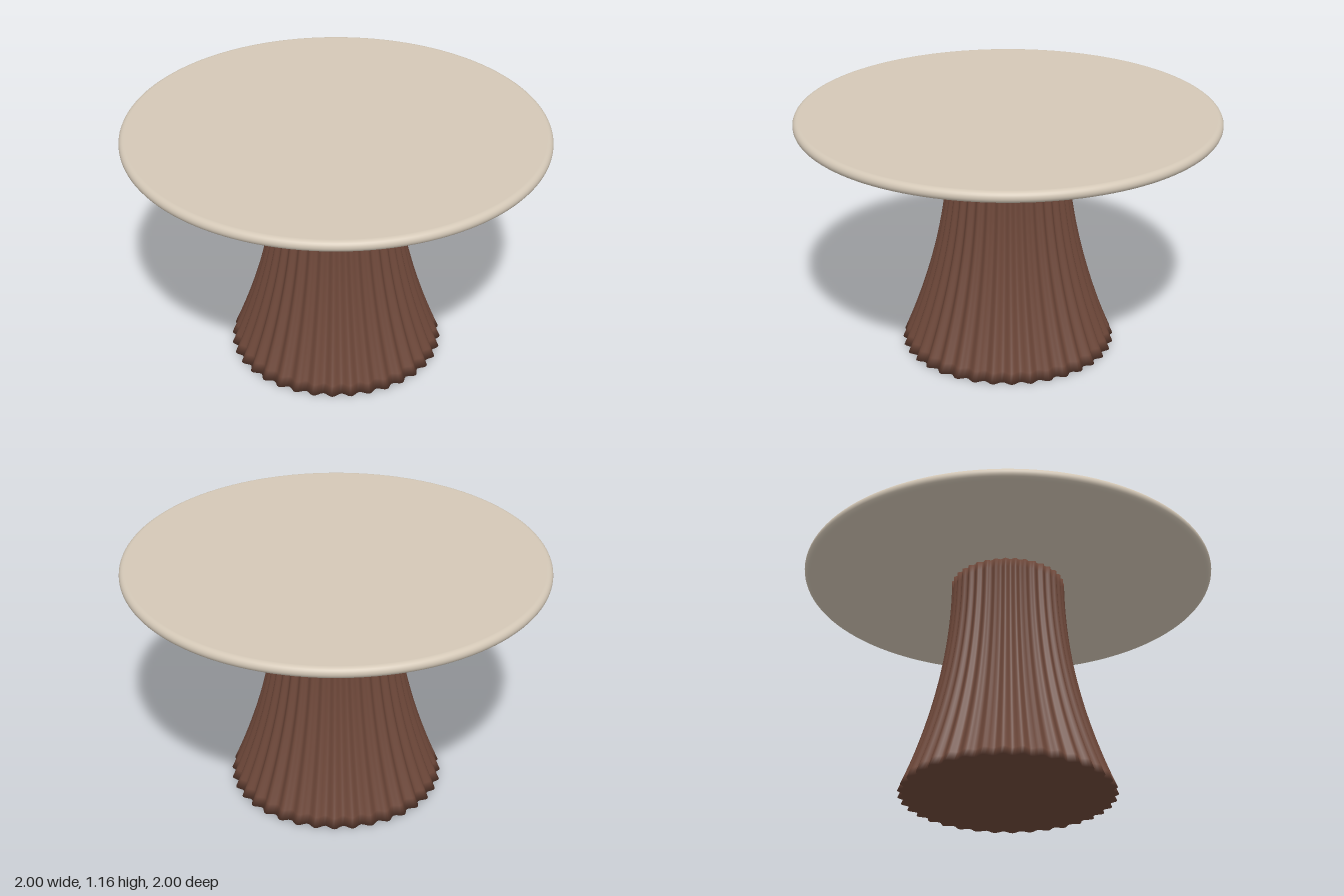
import * as THREE from 'three';

const FLUTES = 36, STEPS = 8, RINGS = 24;
const LEG_HEIGHT = 1.115;

// Fluted column that flares towards the floor, with smooth shared normals
function flutedColumn() {
  const around = FLUTES * STEPS;
  const positions = [], indices = [];
  for (let i = 0; i <= RINGS; i++) {
    const t = i / RINGS;
    const radius = 0.277 + 0.24 * (1 - t) ** 2;
    for (let j = 0; j < around; j++) {
      const a = (j / around) * Math.PI * 2;
      const r = radius * (0.975 + 0.025 * Math.cos(a * FLUTES));
      positions.push(r * Math.sin(a), t * LEG_HEIGHT, r * Math.cos(a));
    }
  }
  const foot = positions.length / 3;
  positions.push(0, 0, 0, 0, LEG_HEIGHT, 0);
  const last = RINGS * around;
  for (let j = 0; j < around; j++) {
    const k = (j + 1) % around;
    for (let i = 0; i < RINGS; i++) {
      const lo = i * around, hi = lo + around;
      indices.push(lo + j, lo + k, hi + k, lo + j, hi + k, hi + j);
    }
    // Bottom and top caps
    indices.push(foot, k, j, foot + 1, last + j, last + k);
  }
  const geometry = new THREE.BufferGeometry();
  geometry.setAttribute('position', new THREE.Float32BufferAttribute(positions, 3));
  geometry.setIndex(indices);
  geometry.computeVertexNormals();
  return geometry;
}

// Round slab with a fully rounded rim
function roundTop(radius, bottom, top) {
  const h = (top - bottom) / 2, mid = (top + bottom) / 2, inner = radius - h;
  const points = [new THREE.Vector2(0, bottom), new THREE.Vector2(inner - 0.002, bottom)];
  for (let i = 0; i <= 12; i++) {
    const a = -Math.PI / 2 + (i / 12) * Math.PI;
    points.push(new THREE.Vector2(inner + h * Math.cos(a), mid + h * Math.sin(a)));
  }
  points.push(new THREE.Vector2(inner - 0.002, top), new THREE.Vector2(0, top));
  return new THREE.LatheGeometry(points, 128);
}

export function createModel() {
  const stone = new THREE.MeshStandardMaterial({ color: 0xd4c8b7 });
  stone.name = 'warm beige';
  const wood = new THREE.MeshStandardMaterial({ color: 0x6d4739 });
  wood.name = 'dark brown';

  const table = new THREE.Group();
  table.name = 'pedestalTable';

  const pedestal = new THREE.Mesh(flutedColumn(), wood);
  pedestal.name = 'flutedPedestal';
  const tabletop = new THREE.Mesh(roundTop(1, 1.112, 1.164), stone);
  tabletop.name = 'tabletop';

  table.add(pedestal, tabletop);
  return table;
}
